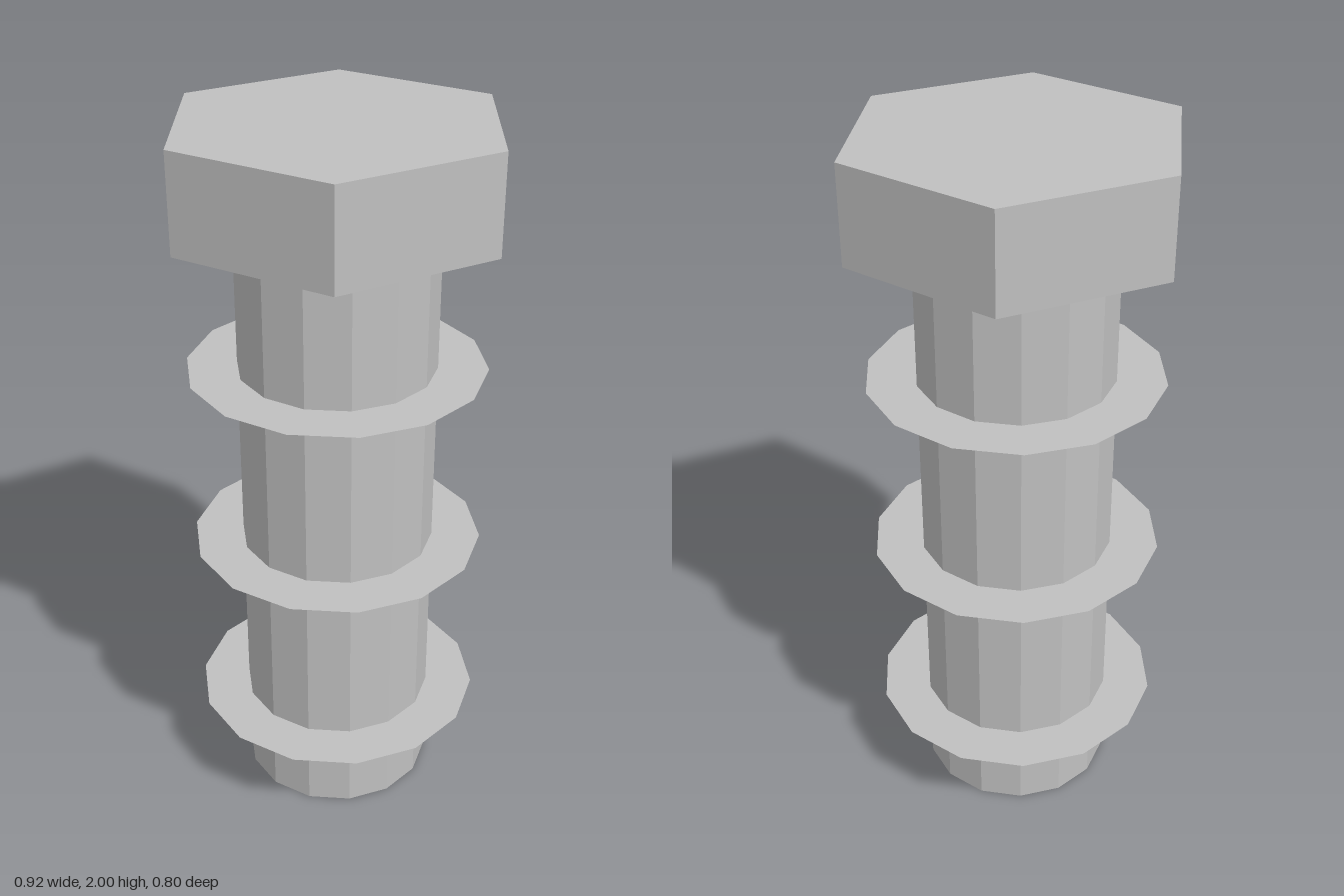
import * as THREE from 'three';

const SIDES = 14;
const SHAFT_R = 0.273;
const THREAD_R = 0.41;
const HEAD_R = 0.462;
const HEAD_H = 0.267;

export function createModel() {
  const group = new THREE.Group();
  group.name = 'hexBolt';

  const steel = new THREE.MeshStandardMaterial({ color: 0xc0c0c0 });
  steel.name = 'steel grey';
  steel.flatShading = true;
  steel.side = THREE.DoubleSide; // the thread rings are single sheets

  const add = (name, geometry, y) => {
    const mesh = new THREE.Mesh(geometry, steel);
    mesh.name = name;
    mesh.position.y = y;
    group.add(mesh);
  };

  // Upright prism with a corner on the x axis
  const prism = (radius, height, sides) =>
    new THREE.CylinderGeometry(radius, radius, height, sides, 1, false, Math.PI / 2);

  // Shaft and hexagonal head
  const shaftH = 2 - HEAD_H;
  add('shaft', prism(SHAFT_R, shaftH, SIDES), shaftH / 2);
  add('head', prism(HEAD_R, HEAD_H, 6), 2 - HEAD_H / 2);

  // Three paper-thin thread rings, evenly spaced
  const ring = new THREE.RingGeometry(SHAFT_R, THREAD_R, SIDES).rotateX(-Math.PI / 2);
  [0.267, 0.8, 1.333].forEach((y, i) => add(`threadRing${i + 1}`, ring, y));

  return group;
}
